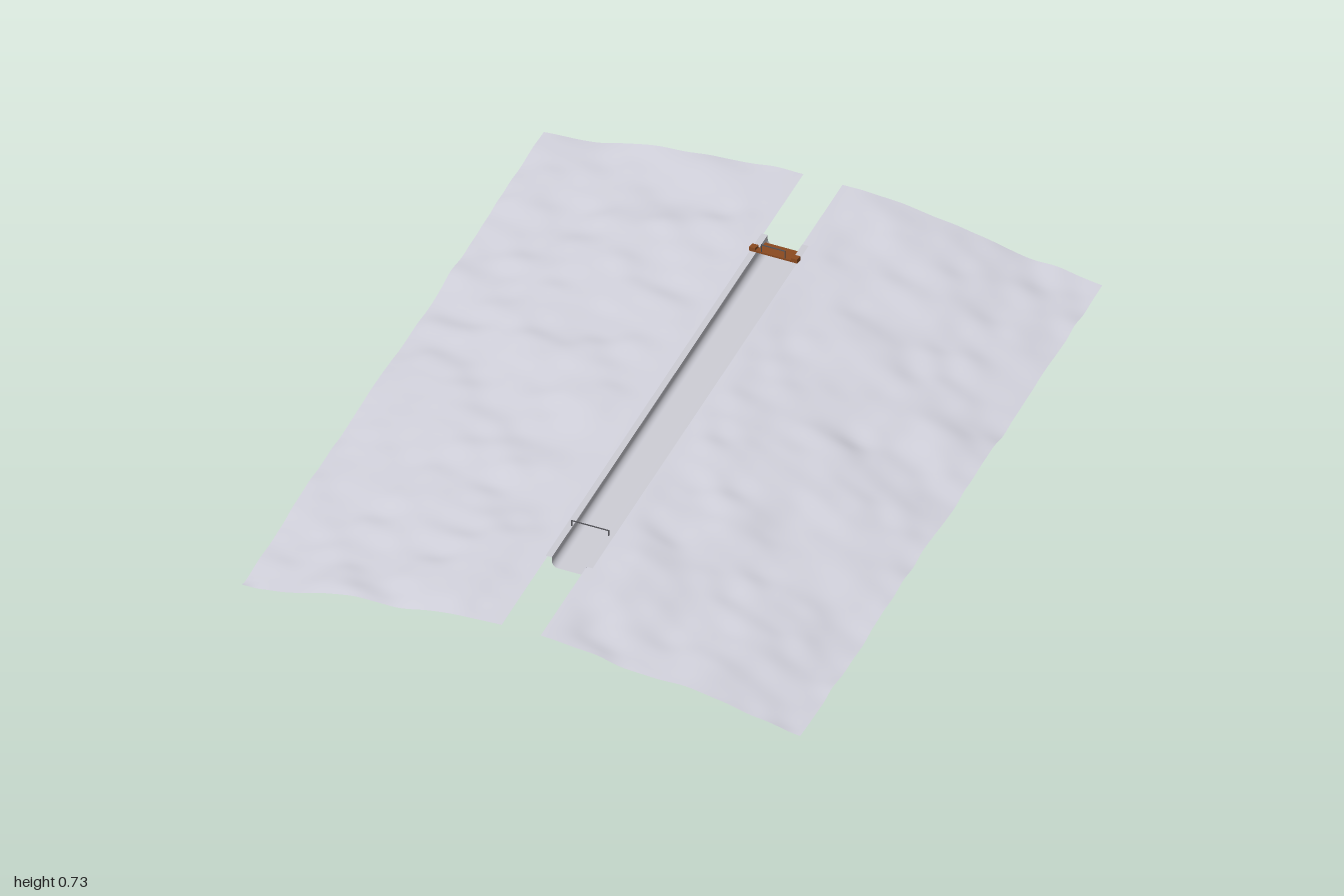
import * as THREE from 'three';

const SLOPE = 0.31, GAP = 0.07, CX = 0.01;
const line = (z) => 0.42 - SLOPE * z; // height of the crown along the hill

// Seeded smooth value noise, -1..1
function hash(i, j) {
  let h = (Math.imul(i, 374761393) + Math.imul(j, 668265263) + 1013) | 0;
  h = Math.imul(h ^ (h >>> 13), 1274126177);
  return ((h ^ (h >>> 16)) >>> 0) / 2147483648 - 1;
}
function noise(x, z) {
  const i = Math.floor(x), j = Math.floor(z);
  const s = (t) => t * t * (3 - 2 * t);
  const u = s(x - i), v = s(z - j), mix = THREE.MathUtils.lerp;
  return mix(mix(hash(i, j), hash(i + 1, j), u), mix(hash(i, j + 1), hash(i + 1, j + 1), u), v);
}

// Snow surface: sloping crown with soft bumps that fade out beside the chute
function snowHeight(x, z) {
  const t = Math.max(0, (Math.abs(x) - GAP) / (1 - GAP));
  const fade = THREE.MathUtils.smoothstep(Math.abs(x), GAP, 0.22);
  const a = x + 0.4 * z, b = z - 0.25 * x;
  const bumps = 0.012 * noise(a * 4 + 7, b * 7 + 3) + 0.007 * noise(a * 9 + 31, b * 15 + 11);
  return Math.max(0, line(z) - 0.108 * Math.pow(t, 1.3) + fade * bumps);
}

// Surface from a grid of points, at(u, v) -> [x, y, z]
function sheet(nu, nv, at) {
  const pos = [], idx = [];
  for (let j = 0; j <= nv; j++) for (let i = 0; i <= nu; i++) pos.push(...at(i / nu, j / nv));
  for (let j = 0; j < nv; j++) for (let i = 0; i < nu; i++) {
    const a = j * (nu + 1) + i, b = a + nu + 1;
    idx.push(a, b, a + 1, b, b + 1, a + 1);
  }
  const g = new THREE.BufferGeometry();
  g.setAttribute('position', new THREE.Float32BufferAttribute(pos, 3));
  g.setIndex(idx);
  g.computeVertexNormals();
  return g;
}

export function createModel() {
  const group = new THREE.Group();
  const mat = (name, color, side = THREE.FrontSide) => {
    const m = new THREE.MeshStandardMaterial({ color, side });
    m.name = name;
    return m;
  };
  const snow = mat('snow', 0xcbcbd5, THREE.DoubleSide);
  const ice = mat('ice', 0xc4c4cc, THREE.DoubleSide);
  const wood = mat('brown wood', 0x8b4a20);
  const metal = mat('dark metal', 0x55555a);
  const add = (name, geo, m, parent = group) => {
    const mesh = new THREE.Mesh(geo, m);
    mesh.name = name;
    parent.add(mesh);
    return mesh;
  };
  const box = (name, m, w, h, d, x, y, z, parent) =>
    add(name, new THREE.BoxGeometry(w, h, d), m, parent).position.set(x, y, z);

  // Snow fields on both sides
  for (const [name, x0, x1] of [['rightSnowField', -1, -GAP], ['leftSnowField', GAP, 1]]) {
    add(name, sheet(70, 140, (u, v) => {
      const x = x0 + (x1 - x0) * u, z = -1 + 2 * v;
      return [x, snowHeight(x, z), z];
    }), snow);
  }

  // Chute: rounded channel with a straight run
  const z0 = -0.73, z1 = 0.7, W = 0.062, R = 0.022, floor = -0.029, rim = 0.005;
  const section = [[-W, rim]];
  for (let i = 0; i <= 8; i++) {
    const a = (i / 8) * Math.PI / 2;
    section.push([-W + R * (1 - Math.cos(a)), floor + R * (1 - Math.sin(a))]);
  }
  section.push(...section.map(([x, y]) => [-x, y]).reverse());
  add('chute', sheet(section.length - 1, 1, (u, v) => {
    const [x, y] = section[Math.round(u * (section.length - 1))];
    const z = z0 + (z1 - z0) * v;
    return [CX + x, line(z) + y, z];
  }), ice);

  // Flat rims along the chute
  for (const s of [-1, 1]) {
    add(s < 0 ? 'rightRim' : 'leftRim', sheet(1, 1, (u, v) => {
      const z = z0 + (z1 - z0) * v, x = s * W + (s < 0 ? u - 1 : u) * 0.022;
      return [CX + x, line(z) + rim, z];
    }), ice);
  }

  // Start platform with crossbar and rail
  const start = new THREE.Group();
  start.name = 'startPlatform';
  group.add(start);
  box('platformBoard', wood, 0.12, 0.004, 0.04, CX, 0.632, -0.692, start);
  box('crossbar', wood, 0.172, 0.006, 0.024, CX, 0.632, -0.662, start);
  for (const s of [-1, 1]) {
    box('crossbarFoot', wood, 0.022, 0.012, 0.024, CX + s * 0.075, 0.637, -0.662, start);
    box('startRailPost', metal, 0.003, 0.028, 0.003, CX + s * 0.042, 0.647, -0.652, start);
  }
  box('startRail', metal, 0.087, 0.003, 0.003, CX, 0.661, -0.652, start);

  // Finish arch
  const finish = new THREE.Group();
  finish.name = 'finishArch';
  group.add(finish);
  box('finishBeam', metal, 0.136, 0.003, 0.003, CX, 0.269, 0.56, finish);
  for (const s of [-1, 1])
    box('finishPost', metal, 0.004, 0.026, 0.004, CX + s * 0.066, 0.257, 0.56, finish);

  return group;
}
